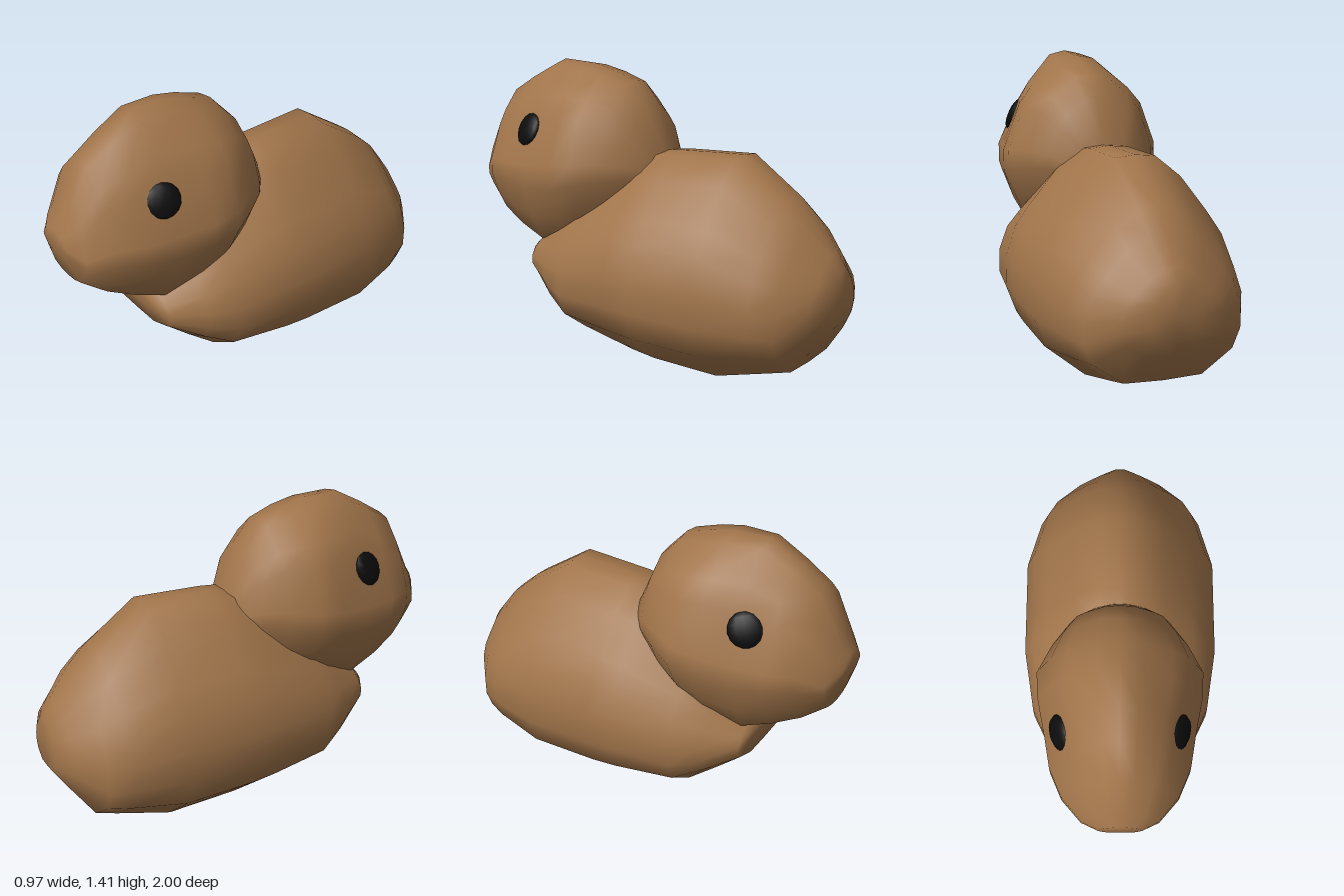
import * as THREE from 'three';

// Half outlines of a cross-section, bottom to top: [fraction of half width, fraction of height]
const BODY_OUTLINE = [[0, 0], [0.5, 0.01], [0.9, 0.165], [1, 0.3], [1, 0.455], [0.9, 0.61], [0.74, 0.72], [0.46, 0.89], [0.2, 0.99], [0, 1]];
const HEAD_OUTLINE = [[0, 0], [0.3, 0.01], [0.62, 0.06], [0.82, 0.19], [1, 0.36], [1, 0.48], [0.8, 0.74], [0.62, 0.84], [0.26, 0.98], [0, 1]];

// Smooth loft along z; each section is [z, bottom, top, half width, upper pinch]
function loft(sections, outline) {
  const left = outline.slice(1, -1).map(([u, v]) => [-u, v]).reverse();
  const ring = [...outline, ...left];
  const n = ring.length;
  const pos = [], index = [];
  for (const [z, bottom, top, half, pinch = 1] of sections) {
    for (const [u, v] of ring) {
      pos.push(u * half * (v > 0.5 ? pinch : 1), bottom + v * (top - bottom), z);
    }
  }
  for (let s = 0; s < sections.length - 1; s++) {
    for (let i = 0; i < n; i++) {
      const a = s * n + i, b = s * n + (i + 1) % n;
      index.push(a, b, a + n, b, b + n, a + n);
    }
  }
  // end caps
  for (const s of [0, sections.length - 1]) {
    const [z, bottom, top] = sections[s];
    const c = pos.length / 3;
    pos.push(0, (bottom + top) / 2, z);
    for (let i = 0; i < n; i++) {
      const a = s * n + i, b = s * n + (i + 1) % n;
      if (s === 0) index.push(c, b, a);
      else index.push(c, a, b);
    }
  }
  const g = new THREE.BufferGeometry();
  g.setAttribute('position', new THREE.Float32BufferAttribute(pos, 3));
  g.setIndex(index);
  g.computeVertexNormals();
  return g;
}

export function createModel() {
  const model = new THREE.Group();
  model.name = 'bird';
  const brown = new THREE.MeshStandardMaterial({ color: 0xa0744a });
  brown.name = 'brown';
  const black = new THREE.MeshStandardMaterial({ color: 0x0c0c0c });
  black.name = 'black';

  // Plump body, rear to chest
  const body = new THREE.Mesh(loft([
    [-1, 0.3, 0.56, 0.12],
    [-0.95, 0.23, 0.62, 0.24],
    [-0.84, 0.08, 0.76, 0.37],
    [-0.74, 0.06, 0.85, 0.42],
    [-0.48, 0, 1.03, 0.485],
    [-0.13, 0.015, 1.015, 0.485],
    [0, 0.035, 1.0, 0.485],
    [0.3, 0.09, 0.85, 0.44],
    [0.43, 0.19, 0.72, 0.38],
    [0.59, 0.32, 0.58, 0.28],
    [0.62, 0.42, 0.52, 0.22],
  ], BODY_OUTLINE), brown);
  body.name = 'body';
  model.add(body);

  // Head, nape to snout
  const head = new THREE.Mesh(loft([
    [-0.05, 0.8, 1.01, 0.15],
    [0.04, 0.7, 1.22, 0.25],
    [0.14, 0.62, 1.33, 0.32],
    [0.27, 0.56, 1.37, 0.39],
    [0.39, 0.5, 1.4, 0.385, 0.97],
    [0.57, 0.46, 1.41, 0.35, 0.9],
    [0.72, 0.53, 1.33, 0.325, 0.88],
    [0.85, 0.6, 1.25, 0.27, 0.9],
    [0.95, 0.68, 1.03, 0.18],
    [1, 0.83, 0.95, 0.1],
  ], HEAD_OUTLINE), brown);
  head.name = 'head';
  model.add(head);

  // Flattened round eyes set on the cheeks
  const eyeGeometry = new THREE.SphereGeometry(0.085, 12, 8);
  eyeGeometry.scale(1, 1, 0.35);
  for (const side of [1, -1]) {
    const eye = new THREE.Mesh(eyeGeometry, black);
    eye.name = side > 0 ? 'leftEye' : 'rightEye';
    eye.position.set(side * 0.27, 1.085, 0.6);
    const normal = new THREE.Vector3(side, 0.5, 0.4).normalize();
    eye.quaternion.setFromUnitVectors(new THREE.Vector3(0, 0, 1), normal);
    model.add(eye);
  }
  return model;
}
